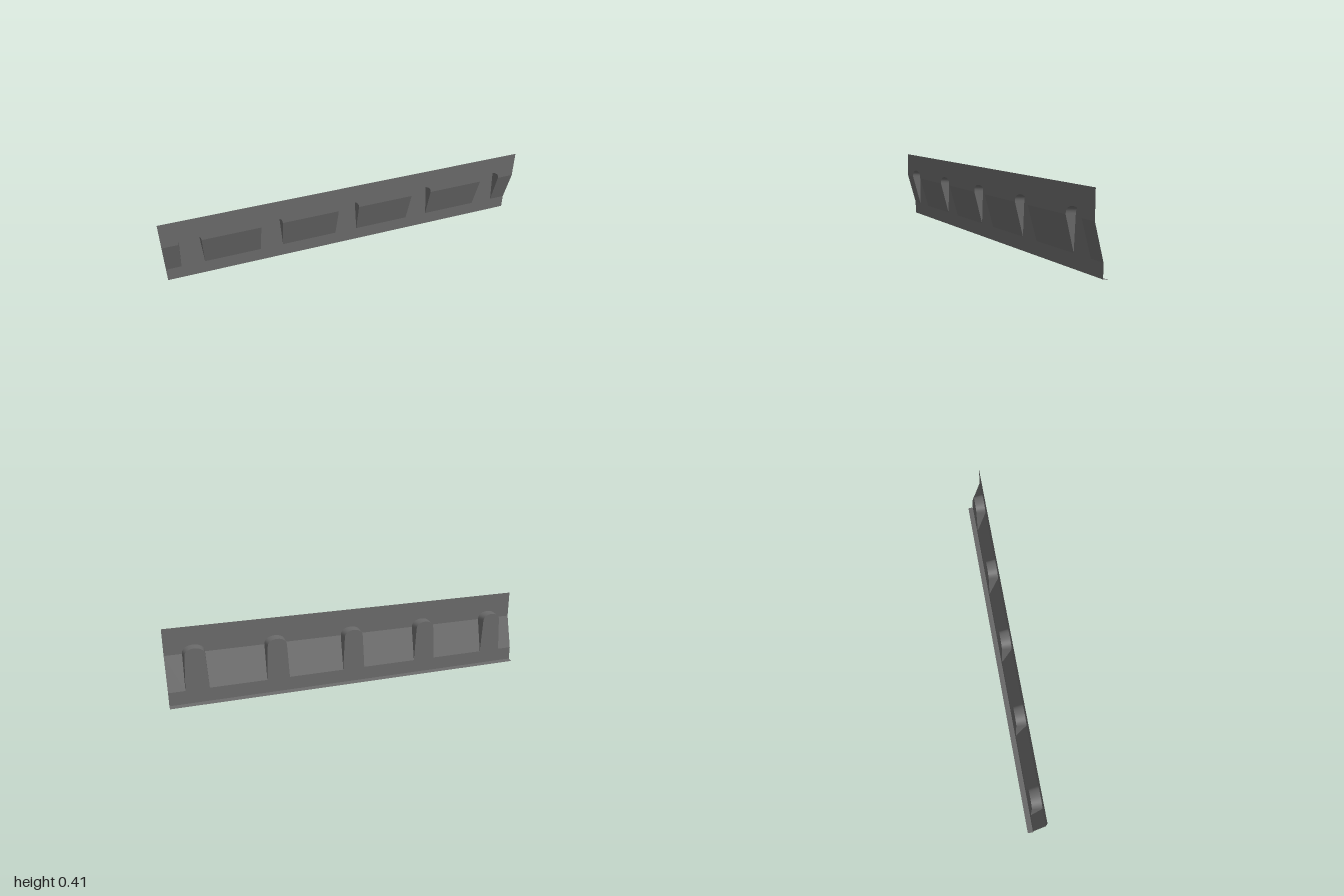
import * as THREE from 'three';

const HALF = 1, TOP = 0.405, FOLD = 0.262, FOOT = 0.078;
const Z_FRONT = 0.04, Z_BACK = -0.012, Z_LIP = -0.04;
const CENTRES = [-2, -1, 0, 1, 2].map(i => i * 0.427 - 0.003);
const FOOT_W = 0.062, ARCH_STEPS = 12;

// depth of the folded sheet at a given height
const depthAt = y =>
  THREE.MathUtils.lerp(Z_BACK, Z_FRONT, THREE.MathUtils.clamp((y - FOOT) / (FOLD - FOOT), 0, 1));

// arch from left spring to right spring, slightly squarer than an ellipse
function archPoints(w, rise) {
  const pts = [];
  for (let i = 0; i <= ARCH_STEPS; i++) {
    const t = Math.PI * (1 - i / ARCH_STEPS);
    pts.push(new THREE.Vector2(w * Math.cos(t), FOLD + rise * Math.pow(Math.sin(t), 0.85)));
  }
  return pts;
}
const frontArch = archPoints(0.058, 0.044);
const backArch = archPoints(0.052, 0.041);
const withFeet = arch =>
  [new THREE.Vector2(-FOOT_W, FOOT), ...arch, new THREE.Vector2(FOOT_W, FOOT)];

// flat outline bent onto the folded sheet
function panel(points, zRule) {
  const geo = new THREE.ShapeGeometry(new THREE.Shape(points));
  const p = geo.attributes.position;
  for (let i = 0; i < p.count; i++) p.setZ(i, zRule(p.getY(i)));
  geo.computeVertexNormals();
  return geo;
}

// smooth wall joining the opening to the niche back
function wallGeometry() {
  const front = withFeet(frontArch), back = withFeet(backArch);
  const pos = [], idx = [];
  front.forEach((f, i) => {
    pos.push(f.x, f.y, depthAt(f.y), back[i].x, back[i].y, Z_BACK);
    if (i > 0) {
      const a = 2 * i - 2;
      idx.push(a, a + 1, a + 2, a + 1, a + 3, a + 2);
    }
  });
  const geo = new THREE.BufferGeometry();
  geo.setAttribute('position', new THREE.Float32BufferAttribute(pos, 3));
  geo.setIndex(idx);
  geo.computeVertexNormals();
  return geo;
}

export function createModel() {
  const group = new THREE.Group();
  const grey = new THREE.MeshStandardMaterial({ color: 0x696969, side: THREE.DoubleSide });
  grey.name = 'dark grey';
  const add = (parent, name, geo) => {
    const mesh = new THREE.Mesh(geo, grey);
    mesh.name = name;
    parent.add(mesh);
    return mesh;
  };
  const V = (x, y) => new THREE.Vector2(x, y);

  // upper panel, its lower edge notched by the arches
  const edge = [V(-HALF, FOLD)];
  CENTRES.forEach(c => frontArch.forEach(p => edge.push(V(p.x + c, p.y))));
  edge.push(V(HALF, FOLD), V(HALF, TOP), V(-HALF, TOP));
  add(group, 'upperPanel', panel(edge, () => Z_FRONT));

  // sloping panels between the niches
  const w = frontArch[ARCH_STEPS].x;
  for (let i = 0; i <= CENTRES.length; i++) {
    const first = i === 0, last = i === CENTRES.length;
    const l = first ? 0 : CENTRES[i - 1], r = last ? 0 : CENTRES[i];
    add(group, 'slopingPanel', panel([
      V(first ? -HALF : l + FOOT_W, FOOT), V(last ? HALF : r - FOOT_W, FOOT),
      V(last ? HALF : r - w, FOLD), V(first ? -HALF : l + w, FOLD),
    ], depthAt));
  }

  // lower panel and the lip turned back beneath it
  const lipY = 0.005;
  add(group, 'lowerPanel', panel(
    [V(-HALF, lipY), V(HALF, lipY), V(HALF, FOOT), V(-HALF, FOOT)], () => Z_BACK));
  add(group, 'bottomLip', panel(
    [V(-HALF, 0), V(HALF, 0), V(HALF, lipY), V(-HALF, lipY)],
    y => THREE.MathUtils.lerp(Z_LIP, Z_BACK, y / lipY)));

  // arched niches
  const backGeo = panel(withFeet(backArch), () => Z_BACK);
  const wallGeo = wallGeometry();
  CENTRES.forEach(c => {
    const niche = new THREE.Group();
    niche.name = 'niche';
    niche.position.x = c;
    add(niche, 'nicheBack', backGeo);
    add(niche, 'nicheWall', wallGeo);
    group.add(niche);
  });
  return group;
}
